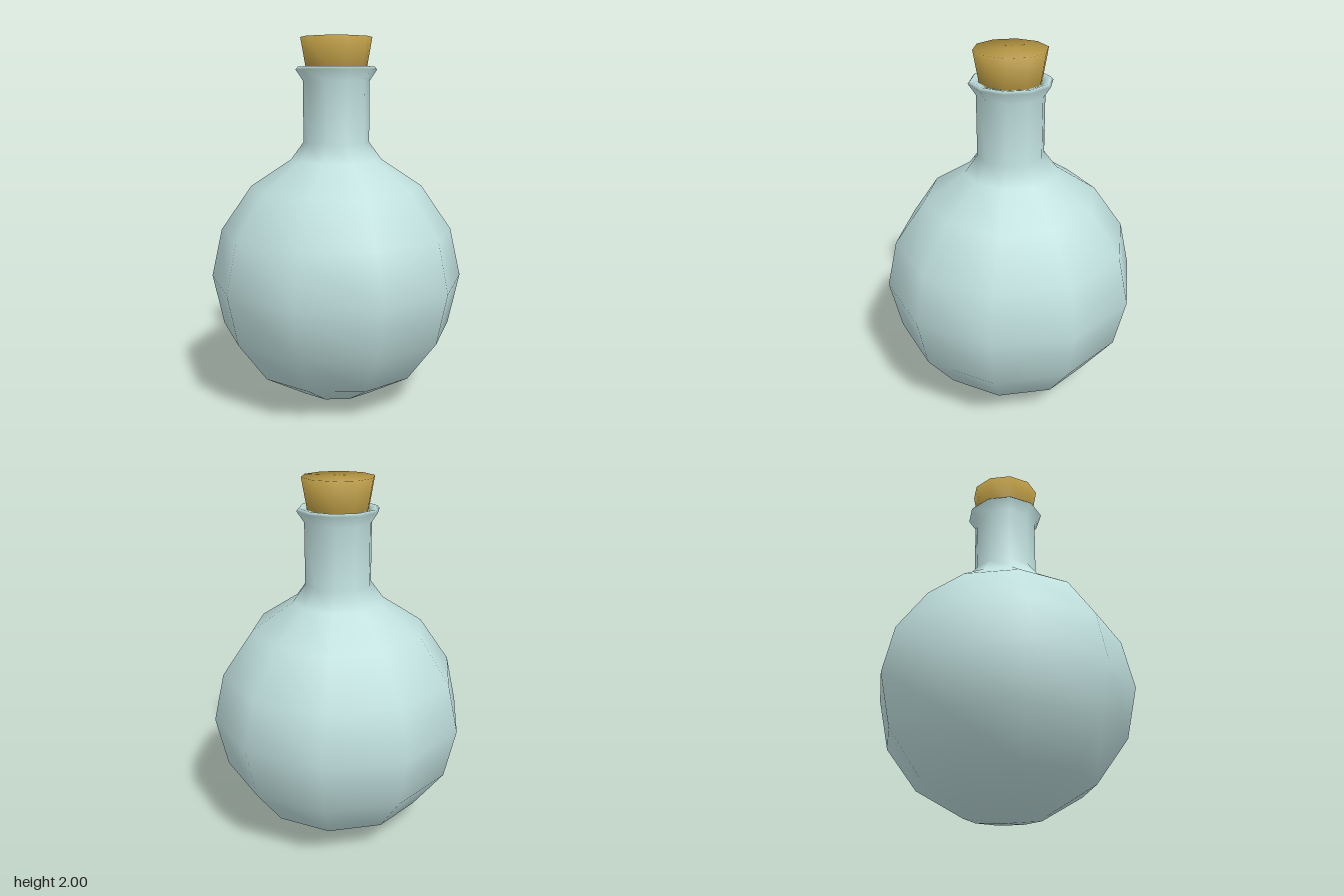
import * as THREE from 'three';

const SIDES = 10;

// Ten-sided smooth turned part; profile runs from bottom to top as [radius, y]
function turned(name, profile, material) {
  const points = profile.map(([r, y]) => new THREE.Vector2(r, y));
  // quarter-turn start puts corners on the x axis
  const mesh = new THREE.Mesh(new THREE.LatheGeometry(points, SIDES, Math.PI / 2), material);
  mesh.name = name;
  return mesh;
}

export function createModel() {
  const glass = new THREE.MeshStandardMaterial({ name: 'pale glass', color: 0xbfdfdd });
  const corkBrown = new THREE.MeshStandardMaterial({ name: 'cork brown', color: 0xb29341 });

  const model = new THREE.Group();
  model.name = 'flask';

  // Round body, neck, flared lip and the start of the inner neck
  model.add(turned('bottle', [
    [0, 0], [0.215, 0.03], [0.47, 0.18], [0.64, 0.41], [0.7, 0.69],
    [0.64, 0.955], [0.47, 1.2], [0.25, 1.345], [0.18, 1.44],
    [0.18, 1.77], [0.22, 1.83], [0.207, 1.845], [0.165, 1.835], [0.15, 1.72],
  ], glass));

  // Tapered stopper, pushed into the neck
  model.add(turned('cork', [
    [0, 1.74], [0.147, 1.74], [0.165, 1.84], [0.193, 2], [0, 2],
  ], corkBrown));

  return model;
}
